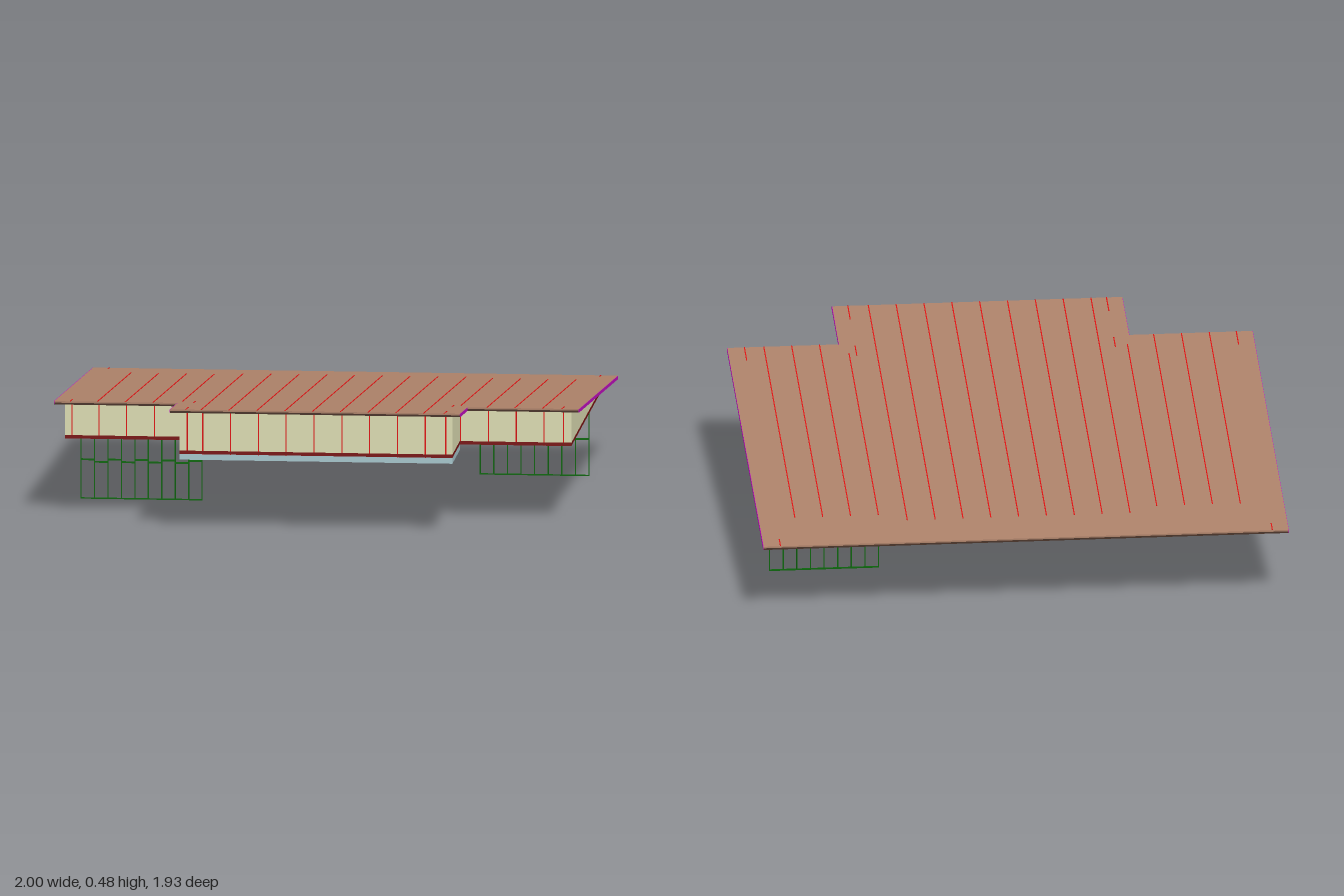
import * as THREE from 'three';

const SLOPE = 0.09;
const roofTop = z => 0.391 + SLOPE * z;
const roofUnder = z => roofTop(z) - 0.013;

const mat = color => new THREE.MeshStandardMaterial({ color });
const colors = {
  roof: mat(0xac8169), soffit: mat(0x4a3429), wall: mat(0xdcdcb2), floor: mat(0x555555),
  rim: mat(0x7a1414), red: mat(0xe01010), magenta: mat(0xc010c0), beam: mat(0xa6c6cc), green: mat(0x0a640a),
};

export function createModel() {
  const model = new THREE.Group();

  const add = (parent, name, geometry, material) => {
    const mesh = new THREE.Mesh(geometry, material);
    mesh.name = name;
    parent.add(mesh);
    return mesh;
  };

  // Box between two plan corners, whose bottom and top heights follow z
  const block = (parent, name, material, x0, x1, z0, z1, bottom, top) => {
    const g = new THREE.BoxGeometry(x1 - x0, 1, z1 - z0).toNonIndexed();
    g.translate((x0 + x1) / 2, 0, (z0 + z1) / 2);
    const p = g.attributes.position;
    const at = (h, z) => (typeof h === 'function' ? h(z) : h);
    for (let i = 0; i < p.count; i++) p.setY(i, at(p.getY(i) > 0 ? top : bottom, p.getZ(i)));
    g.computeVertexNormals();
    return add(parent, name, g, material);
  };

  // T-shaped plan: a wide main part with a projecting front bay, extruded upwards
  const plan = (side, back, front, bayL, bayR, bayFront, thickness) => {
    const pts = [[-side, back], [-side, front], [bayL, front], [bayL, bayFront],
      [bayR, bayFront], [bayR, front], [side, front], [side, back]];
    const shape = new THREE.Shape(pts.map(([x, z]) => new THREE.Vector2(x, -z)));
    return new THREE.ExtrudeGeometry(shape, { depth: thickness, bevelEnabled: false }).rotateX(-Math.PI / 2);
  };

  const slanted = (g, height) => {
    const p = g.attributes.position;
    for (let i = 0; i < p.count; i++) p.setY(i, p.getY(i) + height + SLOPE * p.getZ(i));
    g.computeVertexNormals();
    return g;
  };

  // Sloping roof with a dark soffit
  const roof = new THREE.Group();
  roof.name = 'roof';
  model.add(roof);
  add(roof, 'roofCover', slanted(plan(1, -0.968, 0.655, -0.53, 0.575, 0.965, 0.006), 0.385), colors.roof);
  add(roof, 'roofSoffit', slanted(plan(1, -0.968, 0.655, -0.53, 0.575, 0.965, 0.007), 0.378), colors.soffit);

  // Coloured verges on the side edges
  const verge = (x, z0, z1) =>
    block(roof, 'verge', colors.magenta, x - 0.001, x + 0.001, z0, z1, roofUnder, roofTop);
  for (const x of [-1, 1]) verge(x, -0.968, 0.655);
  for (const x of [-0.53, 0.575]) verge(x, 0.655, 0.965);

  // Floor plate
  const floor = add(model, 'floor', plan(0.965, -0.9, 0.59, -0.5, 0.54, 0.9, 0.013), [colors.floor, colors.rim]);
  floor.position.y = 0.296;

  // Walls up to the roof
  const walls = new THREE.Group();
  walls.name = 'walls';
  model.add(walls);
  const wall = (name, x0, x1, z0, z1) =>
    block(walls, name, colors.wall, x0, x1, z0, z1, 0.309, roofUnder);
  wall('rightFrontWall', -0.965, -0.5, 0.575, 0.59);
  wall('leftFrontWall', 0.54, 0.965, 0.575, 0.59);
  wall('bayFrontWall', -0.5, 0.54, 0.885, 0.9);
  wall('rightBayWall', -0.5, -0.485, 0.575, 0.885);
  wall('leftBayWall', 0.525, 0.54, 0.575, 0.885);
  wall('rightSideWall', -0.965, -0.95, -0.76, 0.575);
  wall('leftSideWall', 0.95, 0.965, -0.76, 0.575);
  // Low tapering ends of the side walls
  for (const x of [-0.965, 0.95]) {
    block(walls, 'sideWallEnd', colors.wall, x, x + 0.015, -0.9, -0.76, 0.3, z => Math.max(0.301, roofUnder(z)));
  }

  // Framing lines: rafters, joists and studs at one spacing
  const framing = new THREE.Group();
  framing.name = 'framing';
  model.add(framing);
  const w = 0.002;
  const rafter = (x, z0, z1) =>
    block(framing, 'rafter', colors.red, x - w, x + w, z0, z1, roofTop, z => roofTop(z) + 0.0012);
  for (let i = 0; i < 18; i++) {
    const x = -0.835 + (i - 0) * 0.106;
    if (x > 0.93) break;
    const bay = x > -0.5 && x < 0.53;
    const wallZ = bay ? 0.9 : 0.59;
    const edge = Math.abs(x) < 0.56 && !bay;
    rafter(x, bay ? -0.79 : -0.74, bay ? 0.965 : edge ? 0.58 : 0.655);
    block(framing, 'joist', colors.red, x - w, x + w, -0.86, wallZ, 0.295, 0.296);
    block(framing, 'stud', colors.red, x - w, x + w, wallZ, wallZ + 0.0015, 0.309, roofUnder);
  }
  // Short rafter ends and corner studs over the outer walls
  for (const x of [-0.938, 0.935]) {
    rafter(x, -0.965, -0.91);
    rafter(x, 0.55, 0.655);
    block(framing, 'cornerStud', colors.red, x - w, x + w, 0.59, 0.5915, 0.309, roofUnder);
  }
  for (const x of [-0.47, 0.515]) {
    rafter(x, 0.56, 0.64);
    rafter(x, 0.855, 0.965);
    block(framing, 'cornerStud', colors.red, x - w, x + w, 0.9, 0.9015, 0.309, roofUnder);
  }

  // Beams below the bay and near the back edge
  const beam = (name, x0, x1, z0, z1) => block(model, name, colors.beam, x0, x1, z0, z1, 0.274, 0.296);
  beam('bayFrontBeam', -0.5, 0.54, 0.88, 0.9);
  beam('rightBayBeam', -0.5, -0.48, 0.59, 0.88);
  beam('leftBayBeam', 0.52, 0.54, 0.59, 0.88);
  beam('backBeam', 0.13, 0.49, -0.895, -0.875);

  // Framed partitions under the floor, with staggered blocking
  const partition = (name, x0, x1, z, bays) => {
    const group = new THREE.Group();
    group.name = name;
    model.add(group);
    const bar = (part, a, b, y0, y1) =>
      block(group, part, colors.green, a, b, z - 0.004, z + 0.004, y0, y1);
    const step = (x1 - x0) / bays;
    bar('bottomPlate', x0 - w, x1 + w, 0, 0.004);
    bar('topPlate', x0 - w, x1 + w, 0.292, 0.296);
    for (let i = 0; i <= bays; i++) {
      const x = x0 + i * step;
      bar('post', x - w, x + w, 0.004, 0.292);
      const y = i % 2 ? 0.142 : 0.151;
      if (i < bays) bar('blocking', x + w, x + step - w, y - 0.003, y + 0.003);
    }
  };
  partition('rightPartition', -0.938, -0.477, 0.205, 9);
  partition('leftPartition', 0.52, 0.935, -0.475, 8);

  return model;
}
